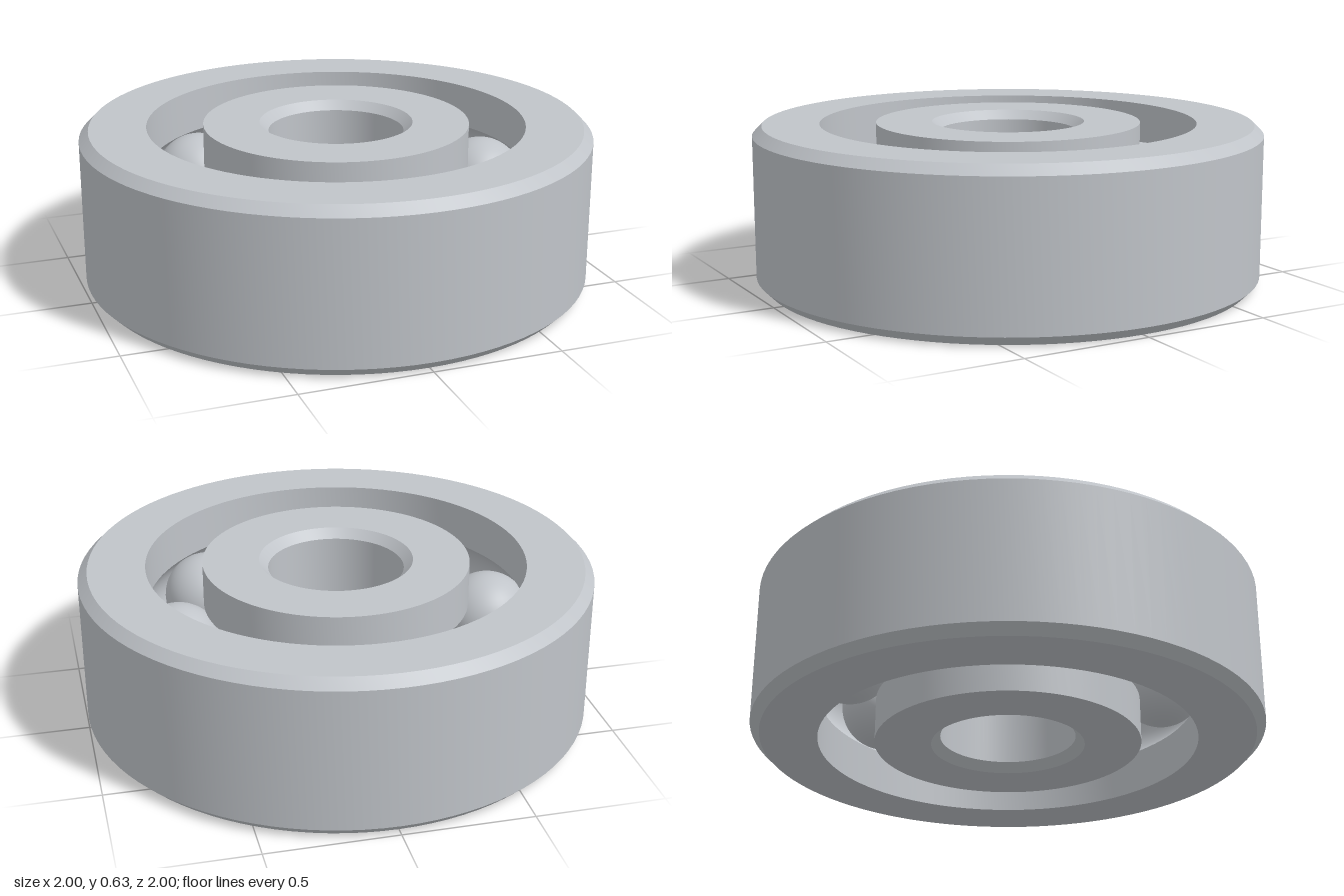
import * as THREE from 'three';
import { toCreasedNormals } from 'three/addons/utils/BufferGeometryUtils.js';

const HEIGHT = 0.63, MID = HEIGHT / 2;
const PITCH = 0.63;            // radius of the circle of ball centres
const BALL = 0.175, GROOVE = 0.178;
const OUTER_WALL = 0.74, INNER_WALL = 0.52;

// Arc of the ball track: side +1 cuts into the outer ring, -1 into the inner ring
function groove(side, wall) {
  const a = Math.acos(Math.abs(wall - PITCH) / GROOVE);
  const points = [];
  for (let i = 0; i <= 16; i++) {
    const t = side * a * (1 - i / 8);
    points.push([PITCH + side * GROOVE * Math.cos(t), MID + GROOVE * Math.sin(t)]);
  }
  return points;
}

function ring(name, profile, material) {
  const points = profile.map(([r, y]) => new THREE.Vector2(r, y));
  const geometry = toCreasedNormals(new THREE.LatheGeometry(points, 96), Math.PI / 6);
  const mesh = new THREE.Mesh(geometry, material);
  mesh.name = name;
  return mesh;
}

export function createModel() {
  const steel = new THREE.MeshStandardMaterial({ color: 0xc0c4c9 });
  steel.name = 'steel';
  const model = new THREE.Group();
  model.name = 'ballBearing';

  // Outer ring with chamfered rim and inward-facing track
  model.add(ring('outerRing', [
    [OUTER_WALL, 0], [0.963, 0], [1, 0.037], [1, HEIGHT - 0.037], [0.963, HEIGHT],
    [OUTER_WALL, HEIGHT], ...groove(1, OUTER_WALL), [OUTER_WALL, 0],
  ], steel));

  // Inner ring with outward-facing track and chamfered bore
  model.add(ring('innerRing', [
    [0.3, 0], [INNER_WALL, 0], ...groove(-1, INNER_WALL), [INNER_WALL, HEIGHT],
    [0.3, HEIGHT], [0.265, HEIGHT - 0.035], [0.265, 0.035], [0.3, 0],
  ], steel));

  // Eight balls running in the track
  const balls = new THREE.Group();
  balls.name = 'balls';
  const ballGeometry = new THREE.SphereGeometry(BALL, 40, 24);
  for (let i = 0; i < 8; i++) {
    const angle = i * Math.PI / 4;
    const ball = new THREE.Mesh(ballGeometry, steel);
    ball.name = 'ball' + (i + 1);
    ball.position.set(PITCH * Math.cos(angle), MID, PITCH * Math.sin(angle));
    balls.add(ball);
  }
  model.add(balls);
  return model;
}
